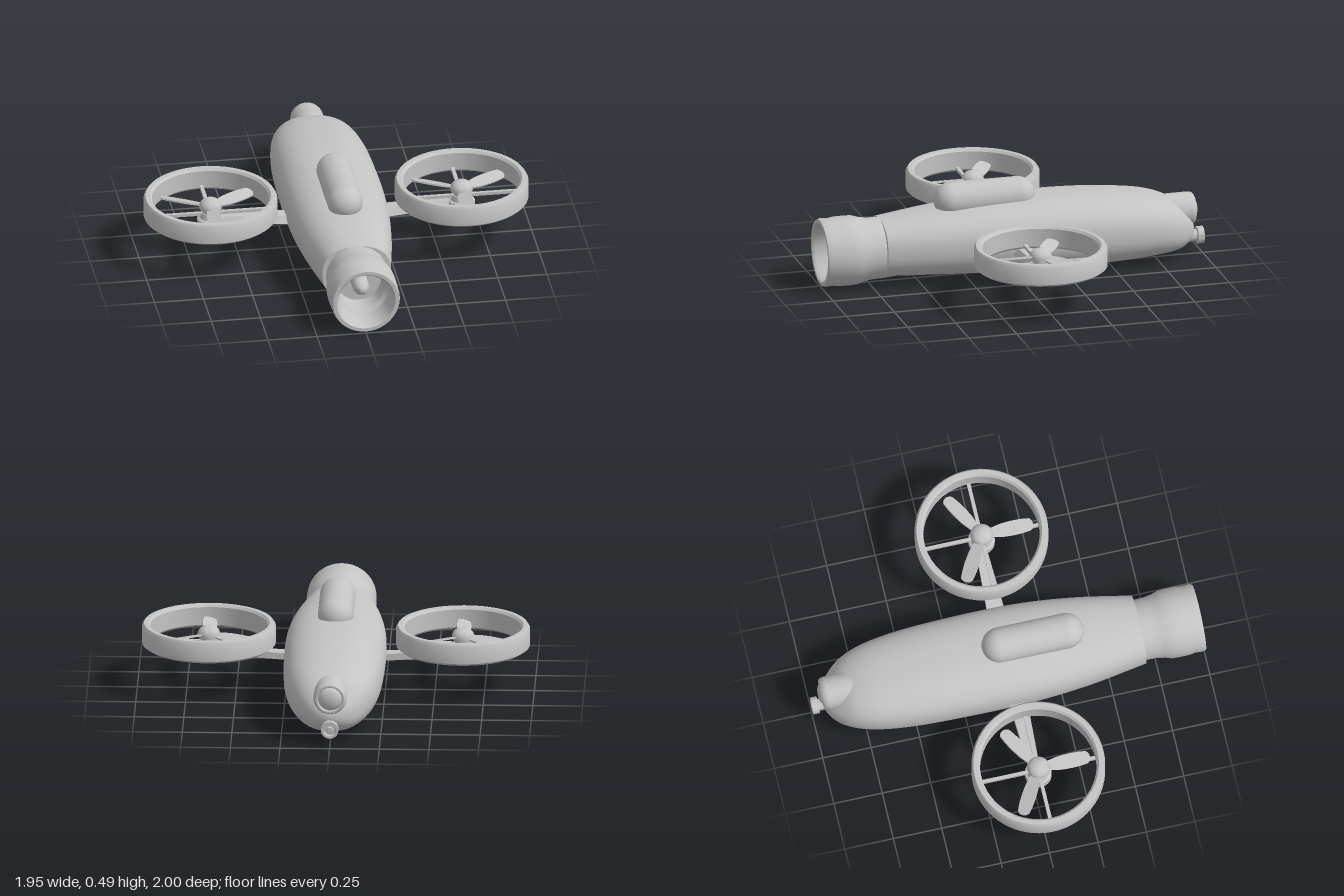
import * as THREE from 'three';
import { toCreasedNormals } from 'three/addons/utils/BufferGeometryUtils.js';

const grey = new THREE.MeshStandardMaterial({ color: 0xc4c4c4 });
grey.name = 'lightGrey';

function add(parent, name, geometry, x = 0, y = 0, z = 0) {
  const mesh = new THREE.Mesh(geometry, grey);
  mesh.name = name;
  mesh.position.set(x, y, z);
  parent.add(mesh);
  return mesh;
}

// Turned part with crisp edges; profile is [radius, height] from the bottom outside upward
function turned(profile, segments = 48) {
  const points = profile.map(([r, h]) => new THREE.Vector2(r, h));
  return toCreasedNormals(new THREE.LatheGeometry(points, segments), 0.6);
}

// Fuselage stations: z, half width, top, bottom
const stations = [
  [0.69, 0.174, 0.335, 0.045], [0.4, 0.225, 0.367, 0.035], [0.1, 0.253, 0.392, 0.025],
  [-0.3, 0.254, 0.395, 0.021], [-0.55, 0.242, 0.378, 0.026], [-0.72, 0.215, 0.352, 0.036],
  [-0.82, 0.178, 0.315, 0.045], [-0.88, 0.137, 0.265, 0.06], [-0.925, 0.085, 0.213, 0.092],
  [-0.945, 0.035, 0.17, 0.125], [-0.95, 0, 0.148, 0.148],
];

function fuselageGeometry(sides = 48, rows = 60) {
  const widths = new THREE.CatmullRomCurve3(stations.map(([z, w]) => new THREE.Vector3(w, 0, z)));
  const heights = new THREE.CatmullRomCurve3(stations.map(([z, , t, b]) => new THREE.Vector3(t, b, z)));
  const positions = [], index = [];
  const round = (v) => Math.sign(v) * Math.abs(v) ** (2 / 2.4);
  for (let i = 0; i <= rows; i++) {
    const w = widths.getPoint(i / rows), h = heights.getPoint(i / rows);
    const middle = (h.x + h.y) / 2, half = (h.x - h.y) / 2;
    for (let j = 0; j < sides; j++) {
      const a = (j / sides) * Math.PI * 2;
      positions.push(Math.max(w.x, 0) * round(Math.cos(a)), middle + half * round(Math.sin(a)), w.z);
      if (i === rows) continue;
      const p = i * sides + j, q = i * sides + ((j + 1) % sides);
      index.push(p, p + sides, q, q, p + sides, q + sides);
    }
  }
  // Flat front bulkhead
  const centre = positions.length / 3;
  positions.push(0, 0.19, 0.69);
  for (let j = 0; j < sides; j++) index.push(centre, j, (j + 1) % sides);
  const geometry = new THREE.BufferGeometry();
  geometry.setAttribute('position', new THREE.Float32BufferAttribute(positions, 3));
  geometry.setIndex(index);
  return toCreasedNormals(geometry, 0.7);
}

// Pitched propeller blade running outward along +x
function bladeGeometry() {
  const shape = new THREE.Shape();
  shape.moveTo(0.03, -0.02);
  shape.lineTo(0.1, -0.034);
  shape.bezierCurveTo(0.16, -0.04, 0.21, -0.038, 0.25, -0.031);
  shape.bezierCurveTo(0.272, -0.018, 0.272, 0.018, 0.25, 0.031);
  shape.bezierCurveTo(0.21, 0.038, 0.16, 0.04, 0.1, 0.034);
  shape.lineTo(0.03, 0.02);
  const geometry = new THREE.ExtrudeGeometry(shape, { depth: 0.008, bevelEnabled: false, curveSegments: 8 });
  return geometry.translate(0, 0, -0.004).rotateX(-Math.PI / 2 + 0.28);
}

function createRotor(side) {
  const rotor = new THREE.Group();
  rotor.name = side > 0 ? 'leftRotor' : 'rightRotor';
  rotor.position.set(side * 0.64, 0, 0.024);
  add(rotor, 'ductRing', turned([
    [0.32, 0.225], [0.337, 0.238], [0.337, 0.325], [0.327, 0.34],
    [0.305, 0.34], [0.294, 0.328], [0.294, 0.235], [0.302, 0.225], [0.32, 0.225],
  ], 64));
  add(rotor, 'motor', turned([
    [0, 0.163], [0.06, 0.163], [0.067, 0.17], [0.067, 0.215],
    [0.055, 0.222], [0.048, 0.25], [0, 0.25],
  ], 32));
  add(rotor, 'hub', turned([
    [0, 0.24], [0.042, 0.24], [0.042, 0.268], [0.056, 0.268], [0.057, 0.285],
    [0.051, 0.301], [0.038, 0.314], [0.019, 0.322], [0, 0.324],
  ], 32));
  // Cross spokes carrying the duct
  for (let i = 0; i < 4; i++) {
    const spoke = add(rotor, 'spoke', new THREE.BoxGeometry(0.27, 0.016, 0.018).translate(0.17, 0, 0), 0, 0.242, 0);
    spoke.rotation.y = (i * Math.PI) / 2;
  }
  const blade = bladeGeometry();
  for (let i = 0; i < 3; i++) {
    add(rotor, 'blade', blade, 0, 0.28, 0).rotation.y = -Math.PI / 2 + (i * Math.PI * 2) / 3;
  }
  return rotor;
}

// Tapered arm between fuselage and motor, rising outward, with a sloping front edge
function armGeometry(side) {
  const geometry = new THREE.BoxGeometry(0.44, 0.034, 0.1);
  const p = geometry.attributes.position;
  for (let i = 0; i < p.count; i++) {
    const t = side * p.getX(i) / 0.44 + 0.5;
    const slope = p.getY(i) > 0 && p.getZ(i) > 0 ? 0.5 : 1;
    p.setY(i, p.getY(i) + 0.178 + 0.024 * t);
    p.setZ(i, p.getZ(i) * slope * (1 - 0.45 * t) + 0.012);
    p.setX(i, p.getX(i) + side * 0.4);
  }
  geometry.computeVertexNormals();
  return geometry;
}

export function createModel() {
  const model = new THREE.Group();
  model.name = 'ductedRotorDrone';
  add(model, 'fuselage', fuselageGeometry());

  // Hollow front duct with a domed centre body
  add(model, 'frontDuct', turned([
    [0.125, 0.5], [0.146, 0.58], [0.155, 0.69], [0.157, 0.75], [0.164, 0.79], [0.175, 0.825],
    [0.177, 0.86], [0.176, 0.92], [0.171, 0.945], [0.174, 0.985], [0.168, 1], [0.15, 1],
    [0.14, 0.985], [0.137, 0.86], [0.116, 0.84], [0.114, 0.75], [0, 0.75],
  ], 64).rotateX(Math.PI / 2), 0, 0.181, 0);
  add(model, 'ductHub', turned([
    [0.042, 0.745], [0.042, 0.82], [0.038, 0.845], [0.027, 0.867], [0.014, 0.88], [0, 0.884],
  ], 32).rotateX(Math.PI / 2), 0, 0.181, 0);

  // Rounded pod along the top
  add(model, 'topPod', new THREE.CapsuleGeometry(0.09, 0.345, 12, 32).rotateX(Math.PI / 2), 0, 0.402, 0.142);

  // Rear sensor with domed lens
  const sensor = new THREE.Group();
  sensor.name = 'rearSensor';
  sensor.position.set(0, 0.247, 0);
  sensor.rotation.x = -Math.PI / 2;
  add(sensor, 'sensorHousing', turned([
    [0.083, 0.75], [0.084, 0.925], [0.08, 0.942], [0.072, 0.95], [0.064, 0.95], [0.06, 0.94], [0, 0.94],
  ]));
  add(sensor, 'sensorLens', new THREE.SphereGeometry(0.059, 32, 12, 0, Math.PI * 2, 0, Math.PI / 2).scale(1, 0.5, 1), 0, 0.939, 0);
  model.add(sensor);

  // Small tail nozzle
  add(model, 'tailNozzle', turned([
    [0.045, 0.82], [0.04, 0.9], [0.03, 0.93], [0.03, 0.965], [0.044, 0.968], [0.044, 1],
    [0.032, 1], [0.028, 0.985], [0.016, 0.985], [0.012, 0.995], [0, 0.995],
  ], 32).rotateX(-Math.PI / 2), 0, 0.1, 0);

  for (const side of [1, -1]) {
    add(model, side > 0 ? 'leftArm' : 'rightArm', armGeometry(side));
    model.add(createRotor(side));
  }
  return model;
}
